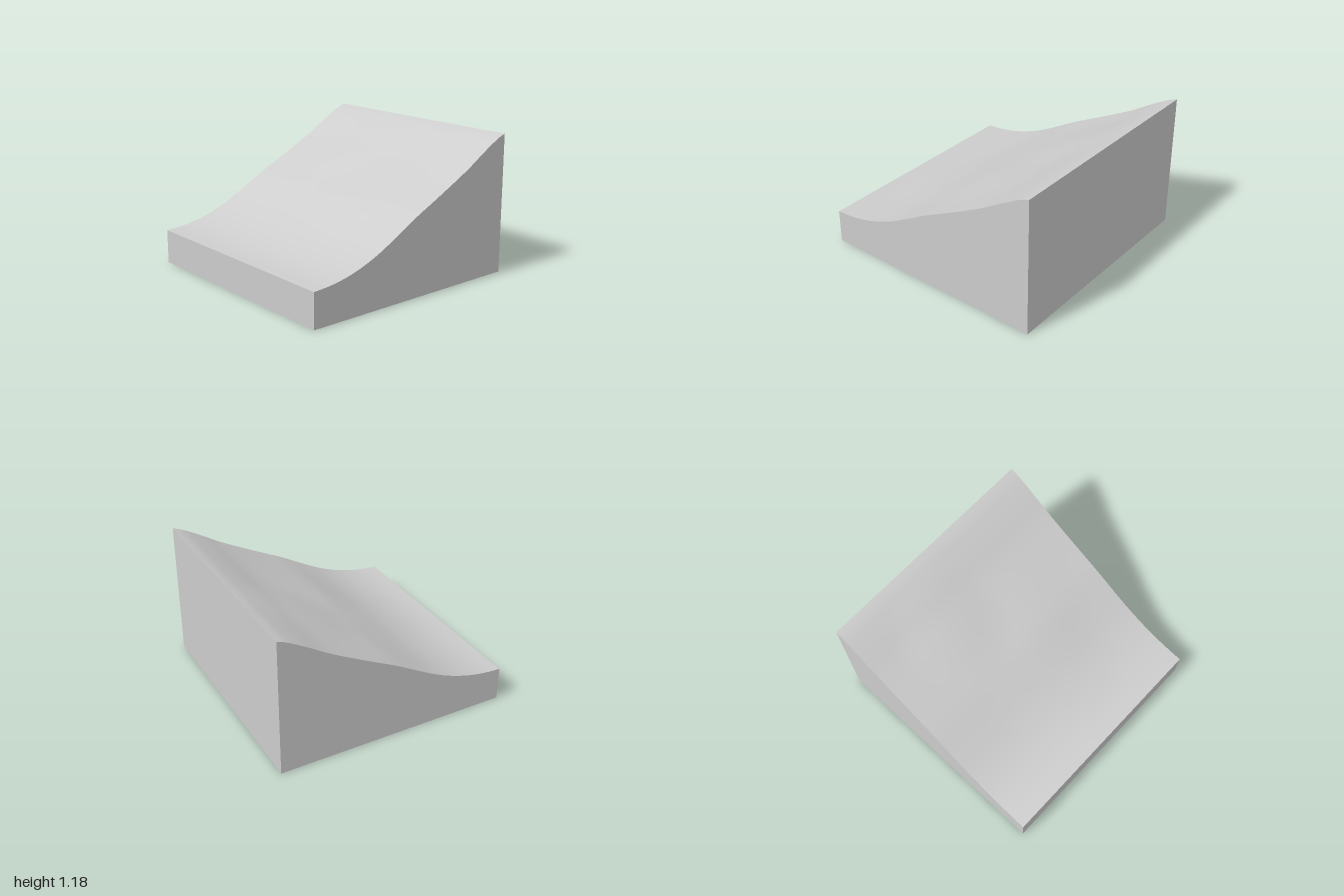
import * as THREE from 'three';

// Slope profile from low to high side, evenly spaced in x
const heights = [0.29, 0.308, 0.355, 0.432, 0.537, 0.65, 0.75, 0.852, 0.96, 1.083, 1.18];
const profile = new THREE.SplineCurve(heights.map((y, i) => new THREE.Vector2(-1 + i * 0.2, y)));

// Gentle swell on the surface, fading out at the borders
function swell(x, z, cx, cz, r, h) {
  const d = Math.hypot(x - cx, z - cz) / r;
  return d < 1 ? h * (1 - d * d) ** 2 : 0;
}

function groundHeight(x, z) {
  return profile.getPoint((x + 1) / 2).y
    + swell(x, z, 0.46, -0.3, 0.5, 0.02)
    + swell(x, z, -0.3, 0.1, 0.65, 0.01)
    + swell(x, z, 0.1, 0.35, 0.5, 0.01);
}

export function createModel() {
  const group = new THREE.Group();
  group.name = 'terrainBlock';
  const grey = new THREE.MeshStandardMaterial({ color: 0xcccccc });
  grey.name = 'light grey';

  // Block whose upper vertices follow the ground height
  const geometry = new THREE.BoxGeometry(2, 1, 2, 40, 1, 40);
  const p = geometry.attributes.position;
  for (let i = 0; i < p.count; i++) {
    p.setY(i, p.getY(i) > 0 ? groundHeight(p.getX(i), p.getZ(i)) : 0);
  }
  geometry.computeVertexNormals();

  const block = new THREE.Mesh(geometry, grey);
  block.name = 'slopedGround';
  group.add(block);
  return group;
}
